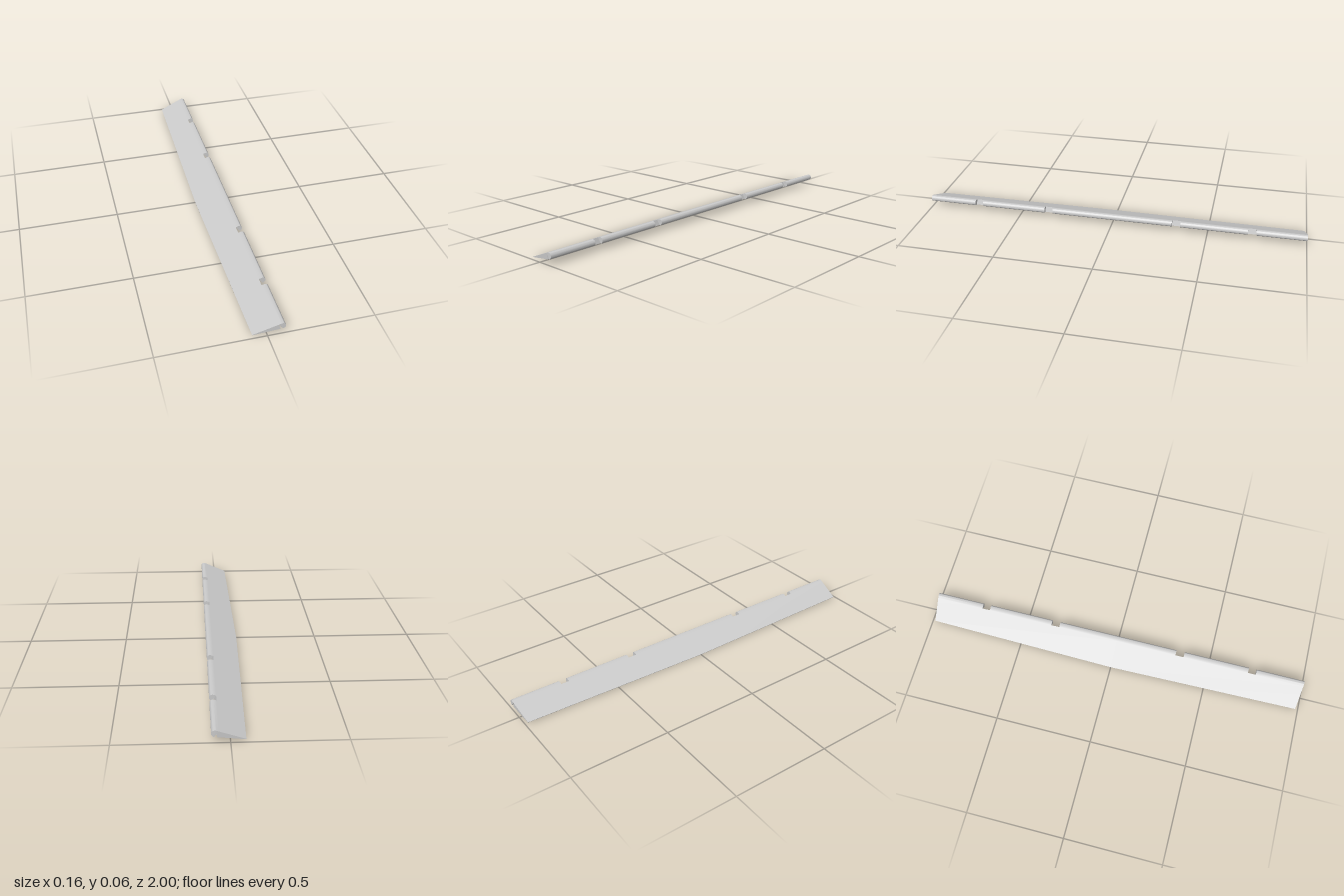
import * as THREE from 'three';
import { toCreasedNormals } from 'three/addons/utils/BufferGeometryUtils.js';

const R = 0.0155;      // nose radius around the hinge axis
const BORE = 0.008;    // hinge pin hole
const CHORD = 0.155;   // hinge axis to trailing edge at mid span
const TAIL = 0.001;    // half thickness of the trailing edge
const WALL = 0.013;    // hinge axis to the back wall of the slots
const A = Math.asin((R - TAIL) / CHORD); // half angle of the wedge
const halfThickness = (x) => R / Math.cos(A) + x * Math.tan(A);

export function createModel() {
  const model = new THREE.Group();
  const material = new THREE.MeshStandardMaterial({ color: 0xcccccc });

  // chord frame: origin on the hinge axis, nose towards +x
  const flap = new THREE.Group();
  flap.name = 'flap';
  flap.position.set(0.066, 0.044, 0);
  flap.rotation.z = Math.atan2(0.043, 0.149);
  model.add(flap);

  function addPart(name, shape, z0, z1, steps, parent, rule) {
    let geometry = new THREE.ExtrudeGeometry(shape, {
      depth: z1 - z0, steps, bevelEnabled: false, curveSegments: 16,
    });
    geometry.translate(0, 0, z0);
    if (rule) {
      const p = geometry.attributes.position;
      for (let i = 0; i < p.count; i++) rule(p, i);
    }
    geometry = toCreasedNormals(geometry, 0.5);
    const mesh = new THREE.Mesh(geometry, material);
    mesh.name = name;
    parent.add(mesh);
  }

  // tips are raked, and the trailing edge tapers from mid span to the tips
  const taper = (p, i) => {
    const x = p.getX(i), z = p.getZ(i);
    const w = Math.max(0, -x / CHORD);
    if (w > 0.9) p.setX(i, x + 0.018 * Math.abs(z));
    p.setZ(i, z * (1 - 0.014 * w));
  };

  // wedge behind the slots
  const h = halfThickness(-WALL);
  const wedge = new THREE.Shape([
    new THREE.Vector2(-CHORD, -TAIL), new THREE.Vector2(-WALL, -h),
    new THREE.Vector2(-WALL, h), new THREE.Vector2(-CHORD, TAIL),
  ]);
  addPart('wedge', wedge, -1, 1, 2, flap, taper);

  // rounded leading edge with the pin hole, interrupted by four hinge slots
  const nose = new THREE.Shape();
  nose.moveTo(-WALL, -h);
  nose.absarc(0, 0, R, -Math.PI / 2 - A, Math.PI / 2 + A, false);
  nose.lineTo(-WALL, h);
  nose.closePath();
  const bore = new THREE.Path();
  bore.absarc(0, 0, BORE, 0, Math.PI * 2, true);
  nose.holes.push(bore);
  const spans = [[-1, -0.748], [-0.706, -0.362], [-0.318, 0.318], [0.362, 0.706], [0.748, 1]];
  for (const [a, b] of spans) addPart('leadingEdge', nose, a, b, 1, flap, taper);

  // two small ribs under the middle
  const rib = new THREE.Shape([
    new THREE.Vector2(0.02, 0.014), new THREE.Vector2(0.06, 0.0255),
    new THREE.Vector2(0.06, 0.032), new THREE.Vector2(0.02, 0.024),
  ]);
  for (const z of [-0.042, 0.042]) addPart('rib', rib, z - 0.004, z + 0.004, 1, model);

  return model;
}
